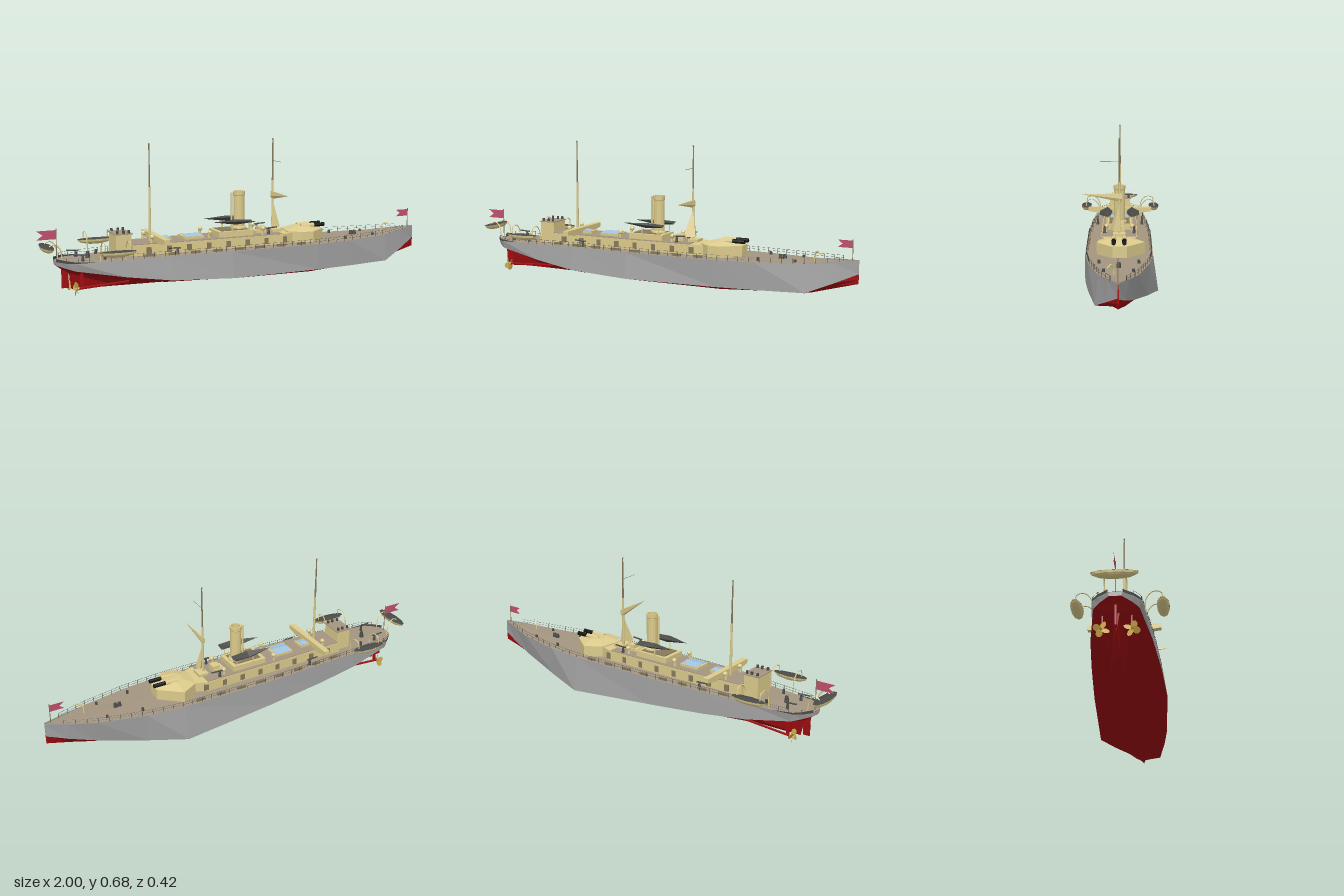
import * as THREE from 'three';

const mat = (color, flat = true) => new THREE.MeshStandardMaterial({ color, flatShading: flat, side: THREE.DoubleSide });
const GREY = mat(0xa0a0a0), RED = mat(0x9e0c10), DECK = mat(0xa39580), TAN = mat(0xdccb8c), TAN_SMOOTH = mat(0xdccb8c, false),
  DARK = mat(0x4a4a48), BLACK = mat(0x111111), BRASS = mat(0xc9a548), GLASS = mat(0x9fc4e0), FLAG = mat(0xc0506c), KHAKI = mat(0x867a5c);

// x, deckY, deckHalf, leftChineY, leftChineZ, rightChineY, rightChineZ, innerY, innerZ, keelY
const STATIONS = [
  [-0.915, 0.165, 0.03, 0.148, 0.025, 0.148, 0.025, 0.147, 0.01, 0.146],
  [-0.88, 0.163, 0.075, 0.138, 0.065, 0.138, 0.065, 0.13, 0.02, 0.12],
  [-0.85, 0.163, 0.098, 0.13, 0.09, 0.13, 0.09, 0.105, 0.014, 0.1],
  [-0.84, 0.163, 0.103, 0.127, 0.095, 0.127, 0.096, 0.1, 0.01, 0.026],
  [-0.62, 0.167, 0.125, 0.09, 0.135, 0.09, 0.13, 0.06, 0.035, 0.024],
  [-0.4, 0.172, 0.142, 0.06, 0.16, 0.066, 0.148, 0.035, 0.07, 0.021],
  [-0.1, 0.172, 0.157, 0.047, 0.175, 0.042, 0.166, 0.028, 0.08, 0.016],
  [0.36, 0.172, 0.155, 0.046, 0.155, 0.003, 0.18, 0.02, 0.07, 0.012],
  [0.55, 0.173, 0.135, 0.046, 0.135, 0.03, 0.128, 0.027, 0.05, 0.016],
  [0.78, 0.178, 0.085, 0.046, 0.1, 0.07, 0.064, 0.045, 0.03, 0.03],
  [0.9, 0.184, 0.042, 0.093, 0.05, 0.1, 0.032, 0.075, 0.014, 0.063],
  [1.0, 0.192, 0.003, 0.135, 0.003, 0.13, 0.003, 0.11, 0.002, 0.09],
];

// Sample one column of the station table at any x
function at(x, col) {
  const i = Math.max(1, STATIONS.findIndex(s => s[0] >= x)), a = STATIONS[i - 1], b = STATIONS[i];
  return THREE.MathUtils.lerp(a[col], b[col], THREE.MathUtils.clamp((x - a[0]) / (b[0] - a[0]), 0, 1));
}

// Skin between successive cross-section lines
function loft(lines) {
  const pos = [];
  for (let i = 0; i + 1 < lines.length; i++)
    for (let j = 0; j + 1 < lines[i].length; j++) {
      const a = lines[i][j], b = lines[i + 1][j], c = lines[i + 1][j + 1], d = lines[i][j + 1];
      pos.push(...a, ...d, ...c, ...a, ...c, ...b);
    }
  const g = new THREE.BufferGeometry();
  g.setAttribute('position', new THREE.Float32BufferAttribute(pos, 3));
  g.computeVertexNormals();
  return g;
}

export function createModel() {
  const ship = new THREE.Group();
  ship.name = 'warship';
  const add = (name, geo, m, x = 0, y = 0, z = 0) => {
    const mesh = new THREE.Mesh(geo, m);
    mesh.name = name;
    mesh.position.set(x, y, z);
    ship.add(mesh);
    return mesh;
  };
  const box = (name, m, x0, x1, y0, y1, z0, z1) =>
    add(name, new THREE.BoxGeometry(x1 - x0, y1 - y0, z1 - z0), m, (x0 + x1) / 2, (y0 + y1) / 2, (z0 + z1) / 2);
  const post = (name, m, x, y0, y1, z, r0, r1 = r0, n = 6) =>
    add(name, new THREE.CylinderGeometry(r1, r0, y1 - y0, n), m, x, (y0 + y1) / 2, z);
  const tube = (name, m, pts, r, n = 16, sides = 4) =>
    add(name, new THREE.TubeGeometry(new THREE.CatmullRomCurve3(pts.map(p => new THREE.Vector3(...p))), n, r, sides), m);
  // Flat-sided prism from an outline of [x, z] corners
  const prism = (name, m, pts, y0, y1) => {
    const g = new THREE.ExtrudeGeometry(new THREE.Shape(pts.map(p => new THREE.Vector2(p[0], -p[1]))), { depth: y1 - y0, bevelEnabled: false });
    return add(name, g.rotateX(-Math.PI / 2), m, 0, y0, 0);
  };

  // Hull: grey sides, red bottom, deck and end plates
  const deckL = s => [s[0], s[1], s[2]], deckR = s => [s[0], s[1], -s[2]];
  const chineL = s => [s[0], s[3], s[4]], chineR = s => [s[0], s[5], -s[6]];
  const bottom = s => [chineL(s), [s[0], s[7], s[8]], [s[0], s[9], 0], [s[0], s[7], -s[8]], chineR(s)];
  add('hullLeft', loft(STATIONS.map(s => [deckL(s), chineL(s)])), GREY);
  add('hullRight', loft(STATIONS.map(s => [chineR(s), deckR(s)])), GREY);
  add('hullBottom', loft(STATIONS.map(bottom)), RED);
  add('deck', loft(STATIONS.map(s => [deckR(s), [s[0], s[1] + 0.003, 0], deckL(s)])), DECK);
  const s0 = STATIONS[0];
  add('transom', loft([[deckR(s0), chineR(s0)], [deckL(s0), chineL(s0)]]), GREY);

  // Bulwark at the bow and low dark coaming round the stern
  for (const s of [1, -1]) {
    const strip = (xs, h) => loft(xs.map((x, i) => [[x, at(x, 1), s * at(x, 2)], [x, at(x, 1) + h[i], s * at(x, 2)]]));
    add('bowBulwark', strip([0.78, 0.9, 1], [0, 0.007, 0.007]), GREY);
    add('sternBulwark', strip([-0.915, -0.88, -0.85, -0.75], [0.014, 0.012, 0.009, 0]), DARK);

    // Guard rails
    const xs = [];
    for (let x = -0.88; x <= 0.97; x += 0.05) xs.push(x);
    const edge = (x, h) => [x, at(x, 1) + h, s * at(x, 2) * 0.97];
    xs.forEach(x => { const p = edge(x, 0); post('railPost', DARK, x, p[1], p[1] + 0.024, p[2], 0.0013, 0.0013, 4); });
    for (const h of [0.012, 0.024]) tube('rail', DARK, xs.map(x => edge(x, h)), 0.0007, 74, 3);
    // Stowed lockers along the rail
    for (let x = -0.52; x < 0.25; x += 0.11) box('railLocker', KHAKI, x, x + 0.045, 0.175, 0.187, s * at(x, 2) * 0.93 - 0.004, s * at(x, 2) * 0.93 + 0.004);
  }

  // Deckhouses
  prism('mainHouse', TAN, [[-0.565, 0.075], [-0.2, 0.085], [0.2, 0.085], [0.27, 0.06], [0.27, -0.06], [0.2, -0.085], [-0.2, -0.085], [-0.565, -0.075]], 0.165, 0.222);
  prism('houseRoof', DECK, [[-0.56, 0.072], [-0.2, 0.082], [0.2, 0.082], [0.2, -0.082], [-0.2, -0.082], [-0.56, -0.072]], 0.222, 0.225);
  box('aftHouse', TAN, -0.64, -0.565, 0.165, 0.272, -0.055, 0.055);
  box('aftHouseRoof', DECK, -0.645, -0.56, 0.272, 0.276, -0.06, 0.06);
  for (const x of [-0.63, -0.6, -0.575]) for (const z of [-0.045, 0.045]) post('roofVent', DARK, x, 0.276, 0.29, z, 0.006);
  for (const s of [1, -1]) for (let x = -0.5; x < 0.2; x += 0.1)
    box('door', KHAKI, x, x + 0.022, 0.18, 0.21, s * 0.08 - 0.007, s * 0.08 + 0.007);

  // Cross bridge with raked wings
  const wing = new THREE.Shape([[-0.165, 0.253], [-0.165, 0.232], [-0.1, 0.222], [0.1, 0.222], [0.165, 0.232], [0.165, 0.253]].map(p => new THREE.Vector2(...p)));
  add('bridge', new THREE.ExtrudeGeometry(wing, { depth: 0.028, bevelEnabled: false }).rotateY(Math.PI / 2), TAN, -0.443);

  // Skylights and hatches
  for (const [x0, x1, w] of [[-0.41, -0.36, 0.03], [-0.3, -0.2, 0.045], [0.08, 0.13, 0.025], [0.17, 0.22, 0.03]]) {
    box('hatch', TAN, x0, x1, 0.225, 0.238, -w, w);
    if (x0 < 0) for (const s of [1, -1]) {
      const pane = box('skylightPane', GLASS, x0 + 0.006, x1 - 0.006, 0.24, 0.242, s * w / 2 - w * 0.45, s * w / 2 + w * 0.45);
      pane.rotation.x = s * 0.2;
    }
  }

  // Funnel, its casing and steam pipe
  box('funnelCasing', TAN, -0.13, 0.05, 0.222, 0.252, -0.065, 0.065);
  box('casingGrating', KHAKI, -0.11, 0.03, 0.252, 0.255, -0.05, 0.05);
  const funnel = [[0.036, 0.25], [0.034, 0.262], [0.027, 0.265], [0.027, 0.415], [0.029, 0.418], [0.029, 0.436], [0.023, 0.436], [0.023, 0.3], [0, 0.3]];
  add('funnel', new THREE.LatheGeometry(funnel.map(p => new THREE.Vector2(...p)), 16), TAN, 0.003);
  post('steamPipe', TAN, -0.036, 0.25, 0.43, 0, 0.005);

  // Canted boat shells either side of the funnel
  for (const s of [1, -1]) {
    add('boatShell', loft([[[-0.16, 0.3, s * 0.06], [-0.16, 0.3, s * 0.06], [-0.16, 0.3, s * 0.06]],
      [[-0.04, 0.302, s * 0.035], [-0.04, 0.282, s * 0.06], [-0.04, 0.302, s * 0.096]],
      [[0.05, 0.298, s * 0.04], [0.05, 0.288, s * 0.06], [0.05, 0.298, s * 0.095]]]), DARK);
    for (const x of [-0.06, 0.03]) post('boatChock', TAN, x, 0.222, 0.286, s * 0.062, 0.003);
  }

  // Masts with rigging fins, crane boom and yard
  for (const x of [-0.456, 0.184]) {
    post('lowerMast', TAN_SMOOTH, x, 0.17, 0.48, 0, 0.007, 0.005, 8);
    post('topMast', KHAKI, x, 0.47, 0.685, 0, 0.0045, 0.0025, 6);
    add('mastCap', new THREE.SphereGeometry(0.0045, 6, 4), KHAKI, x, 0.683);
  }
  add('mastStay', loft([[[0.184, 0.385, 0], [0.184, 0.385, 0], [0.184, 0.385, 0], [0.184, 0.385, 0]],
    [[0.155, 0.25, 0.045], [0.21, 0.25, 0.03], [0.2, 0.25, -0.004], [0.155, 0.25, 0.045]]]), TAN);
  const boom = add('craneBoom', new THREE.ConeGeometry(0.022, 0.19, 5), TAN, 0.184, 0.414, 0.083);
  boom.rotation.x = Math.PI / 2 - 0.08;
  boom.scale.x = 0.35;
  tube('yard', KHAKI, [[0.184, 0.577, 0], [0.184, 0.578, 0.09]], 0.0012, 2);

  // Forward gunhouse: faceted walls, sloping roof and short gun muzzles
  const plan = [[0.245, 0.045], [0.3, 0.095], [0.36, 0.102], [0.45, 0.03], [0.45, -0.035], [0.345, -0.118], [0.262, -0.07]];
  const ring = (k, y) => [...plan, plan[0]].map(([x, z]) => [0.35 + (x - 0.35) * k, y, z * k]);
  add('gunhouse', loft([ring(1, 0.17), ring(1, 0.227), ring(0.45, 0.243), ring(0, 0.245)]), TAN);
  for (const z of [-0.024, 0.024]) {
    post('gun', BLACK, 0.43, 0.215, 0.275, z, 0.01, 0.01, 10).rotation.z = Math.PI / 2;
    tube('barrelSleeve', TAN, [[0.33, 0.242, z], [0.4, 0.245, z]], 0.012, 2, 8);
  }

  // Ship's boats: slung abeam and across the stern, with davits
  const boat = (x, y, z, len, turn) => {
    const g = new THREE.Group();
    g.name = 'boat';
    const hull = new THREE.Mesh(new THREE.SphereGeometry(1, 10, 4, 0, Math.PI * 2, Math.PI / 2, Math.PI / 2), TAN);
    hull.name = 'boatHull';
    const cover = new THREE.Mesh(new THREE.ConeGeometry(1, 0.25, 10, 1, true), DARK);
    cover.name = 'boatCover';
    cover.position.y = 0.125;
    g.add(hull, cover);
    g.scale.set(len / 2, 0.026, 0.028);
    g.position.set(x, y, z);
    g.rotation.y = turn;
    ship.add(g);
  };
  for (const s of [1, -1]) {
    boat(-0.67, 0.221, s * 0.184, 0.18, 0);
    for (const x of [-0.73, -0.61])
      tube('davit', TAN, [[x, 0.165, s * 0.11], [x, 0.23, s * 0.115], [x, 0.262, s * 0.145], [x, 0.255, s * 0.18], [x, 0.225, s * 0.184]], 0.0028, 12);
    tube('sternDavit', TAN, [[-0.89, 0.165, s * 0.045], [-0.9, 0.225, s * 0.045], [-0.925, 0.25, s * 0.045], [-0.95, 0.24, s * 0.045]], 0.003, 10);
  }
  boat(-0.952, 0.234, 0, 0.2, Math.PI / 2);

  // Small deck guns, ventilators, bollards and capstans
  const deckGun = (x, y, z, dir) => {
    post('gunPedestal', DARK, x, y, y + 0.03, z, 0.008, 0.004);
    tube('gunBarrel', DARK, [[x - dir * 0.015, y + 0.03, z], [x + dir * 0.045, y + 0.033, z]], 0.0035, 2, 6);
  };
  for (const s of [1, -1]) {
    deckGun(-0.8, 0.165, s * 0.06, -1);
    deckGun(-0.36, 0.172, s * 0.115, -1);
    deckGun(0.13, 0.225, s * 0.07, 1);
    for (const x of [-0.47, -0.18, 0.1]) {
      post('ventTrunk', TAN, x, 0.222, 0.25, s * 0.062, 0.007);
      add('ventCowl', new THREE.SphereGeometry(0.012, 8, 5), TAN, x + 0.003, 0.253, s * 0.062);
    }
    for (const x of [-0.7, 0.55, 0.72]) post('bollard', DARK, x, 0.168, 0.19, s * at(x, 2) * 0.65, 0.007, 0.006);
  }
  for (const x of [0.63, 0.65, -0.76]) post('capstan', DARK, x, 0.165, 0.197, 0, 0.012, 0.008, 8);
  tube('anchorCrane', TAN, [[0.8, 0.175, 0.02], [0.802, 0.215, 0.02], [0.815, 0.23, 0.03], [0.835, 0.22, 0.045]], 0.004, 10);
  box('searchlightStand', TAN, 0.1, 0.14, 0.225, 0.255, -0.02, 0.02);

  // Swallow-tailed flags on staffs
  const flag = (x, y, w, h) => {
    const sh = new THREE.Shape([[0, 0], [-w, 0], [-w * 0.68, h / 2], [-w, h], [0, h]].map(p => new THREE.Vector2(...p)));
    add('flag', new THREE.ShapeGeometry(sh), FLAG, x, y);
    post('flagStaff', KHAKI, x, 0.165, y + h + 0.006, 0, 0.002);
  };
  flag(-0.905, 0.265, 0.092, 0.042);
  flag(0.97, 0.252, 0.07, 0.034);

  // Rudder, shafts and propellers
  box('rudder', RED, -0.885, -0.853, 0.035, 0.13, -0.004, 0.004);
  for (const s of [1, -1]) {
    tube('propellerShaft', RED, [[-0.58, 0.05, s * 0.05], [-0.83, 0.04, s * 0.063]], 0.006, 2, 6);
    box('shaftStrut', RED, -0.815, -0.8, 0.04, 0.13, s * 0.06 - 0.003, s * 0.06 + 0.003);
    add('propellerHub', new THREE.ConeGeometry(0.009, 0.035, 8).rotateZ(Math.PI / 2), BRASS, -0.838, 0.04, s * 0.063);
    for (let k = 0; k < 4; k++) {
      const blade = new THREE.CircleGeometry(0.016, 8).scale(0.95, 1.15, 1).rotateY(Math.PI / 2 + s * 0.5).translate(0, 0.019, 0).rotateX(k * Math.PI / 2 + 0.4);
      add('propellerBlade', blade, BRASS, -0.835, 0.04, s * 0.063);
    }
  }
  return ship;
}
